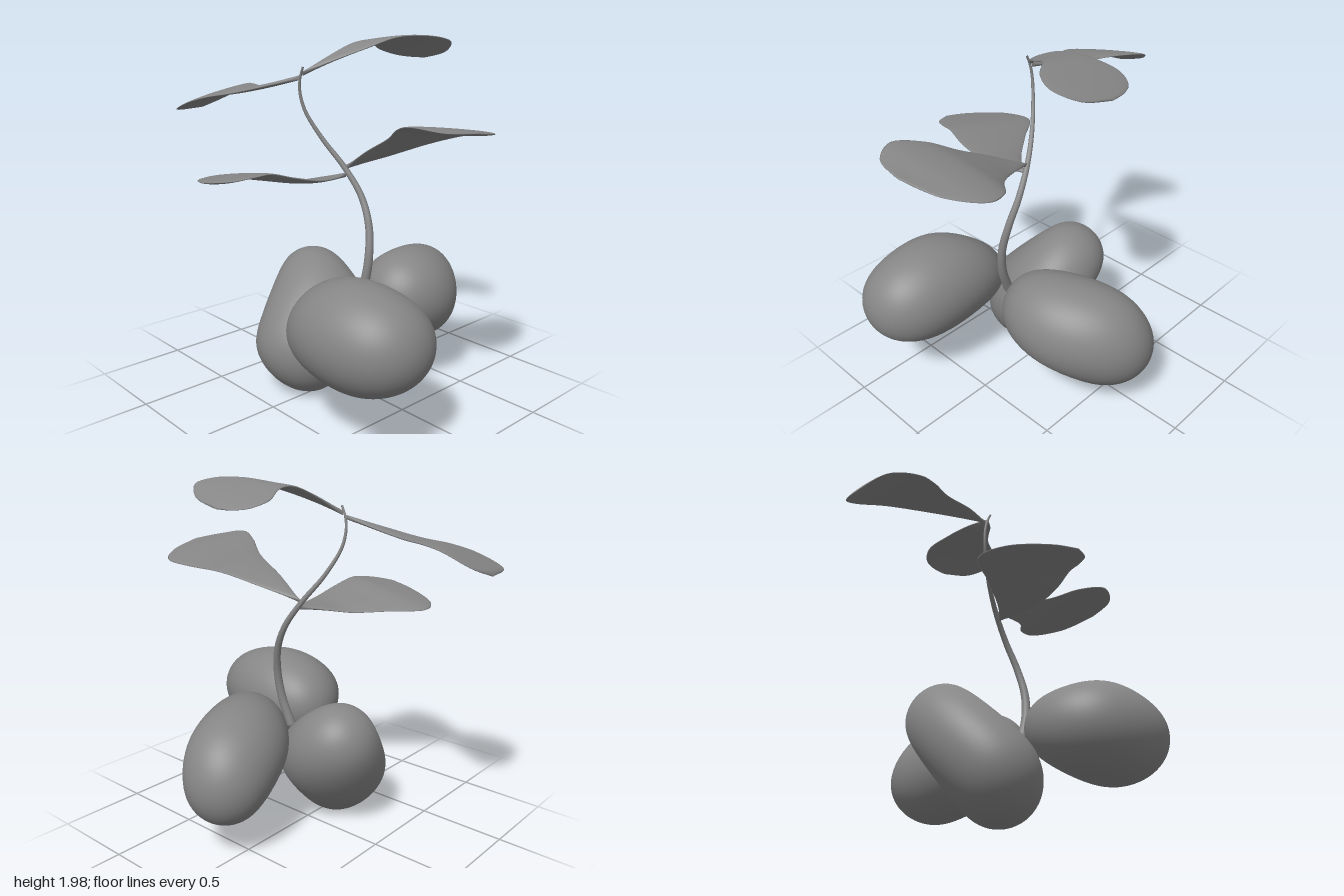
import * as THREE from 'three';

const material = new THREE.MeshStandardMaterial({ color: 0x868686 });
const toVec = (p) => new THREE.Vector3(p[0], p[1], p[2]);
const curveOf = (pts) => new THREE.CatmullRomCurve3(pts.map(toVec));

function named(name, geometry) {
  const mesh = new THREE.Mesh(geometry, material);
  mesh.name = name;
  return mesh;
}

// Smooth convex pebble wrapped around a few balls [x, y, z, radius]
function pebble(balls) {
  const geo = new THREE.SphereGeometry(1, 64, 48);
  const pos = geo.attributes.position;
  const d = new THREE.Vector3(), p = new THREE.Vector3(), sharpness = 24;
  for (let i = 0; i < pos.count; i++) {
    d.fromBufferAttribute(pos, i).normalize();
    p.set(0, 0, 0);
    let total = 0;
    for (const b of balls) {
      const c = toVec(b), r = b[3] + 0.01;
      const w = Math.exp(sharpness * (c.dot(d) + r));
      p.addScaledVector(c.addScaledVector(d, r), w);
      total += w;
    }
    p.divideScalar(total);
    pos.setXYZ(i, p.x, p.y, p.z);
  }
  // the sphere's own normals remain exact for this wrapping
  return geo;
}

// Leaf blade with a thin lens section, spanning two edge curves that meet at base and tip
function leaf(base, tip, edgeA, edgeB) {
  const a = curveOf([base, ...edgeA, tip]), b = curveOf([base, ...edgeB, tip]);
  const nu = 56, ring = 28, thickness = 0.012, positions = [], index = [];
  for (let i = 0; i <= nu; i++) {
    const u = i / nu, inner = THREE.MathUtils.clamp(u, 0.02, 0.98);
    const pa = a.getPoint(u), pb = b.getPoint(u);
    const across = b.getPoint(inner).sub(a.getPoint(inner));
    const normal = a.getTangent(inner).add(b.getTangent(inner)).cross(across).normalize();
    const t = thickness * Math.sqrt(1 - u ** 6);
    for (let j = 0; j < ring; j++) {
      const angle = (j / ring) * Math.PI * 2;
      const p = pa.clone().lerp(pb, (1 - Math.cos(angle)) / 2).addScaledVector(normal, t * Math.sin(angle));
      positions.push(p.x, p.y, p.z);
      if (i < nu) {
        const k = i * ring + j, k1 = i * ring + (j + 1) % ring;
        index.push(k, k + ring, k1, k1, k + ring, k1 + ring);
      }
    }
  }
  const geo = new THREE.BufferGeometry();
  geo.setAttribute('position', new THREE.Float32BufferAttribute(positions, 3));
  geo.setIndex(index);
  geo.computeVertexNormals();
  return geo;
}

// Tube narrowing from r0 to r1
function taperedTube(curve, r0, r1, segments = 80, sides = 14) {
  const geo = new THREE.TubeGeometry(curve, segments, 1, sides);
  const pos = geo.attributes.position, p = new THREE.Vector3();
  for (let i = 0; i < pos.count; i++) {
    const t = Math.floor(i / (sides + 1)) / segments;
    const c = curve.getPointAt(t);
    p.fromBufferAttribute(pos, i).sub(c).multiplyScalar(THREE.MathUtils.lerp(r0, r1, t)).add(c);
    pos.setXYZ(i, p.x, p.y, p.z);
  }
  return geo;
}

export function createModel() {
  const model = new THREE.Group();
  model.name = 'seedling';

  // Three pebble-like seeds
  model.add(named('rightSeed', pebble([
    [-0.22, 0.55, 0.01, 0.215], [-0.05, 0.42, 0.02, 0.22],
    [-0.05, 0.24, 0.2, 0.235], [-0.12, 0.3, 0.25, 0.22],
  ])));
  model.add(named('leftSeed', pebble([
    [0.32, 0.57, 0.31, 0.21], [0.4, 0.57, 0.46, 0.215], [0.52, 0.6, 0.385, 0.27],
    [0.57, 0.545, 0.385, 0.28], [0.72, 0.58, 0.36, 0.245], [0.71, 0.57, 0.42, 0.225],
  ])));
  model.add(named('backSeed', pebble([
    [0.25, 0.56, -0.25, 0.235], [0.07, 0.43, -0.59, 0.23], [0.12, 0.54, -0.53, 0.23],
    [0.12, 0.4, -0.52, 0.225], [0.26, 0.5, -0.39, 0.22], [0.1, 0.52, -0.35, 0.21],
  ])));

  // Winding stem with a rounded foot
  const stemCurve = curveOf([
    [0.21, 0.52, 0.085], [0.265, 0.68, 0.07], [0.28, 0.84, 0.05], [0.25, 1.0, 0.022],
    [0.18, 1.15, 0.012], [0.08, 1.3, 0.045], [-0.025, 1.45, 0.11], [-0.095, 1.6, 0.17],
    [-0.11, 1.7, 0.19], [-0.1, 1.77, 0.195], [-0.075, 1.83, 0.195],
  ]);
  model.add(named('stem', taperedTube(stemCurve, 0.028, 0.006)));
  const foot = named('stemFoot', new THREE.SphereGeometry(0.028, 16, 12));
  foot.position.copy(stemCurve.getPoint(0));
  model.add(foot);

  // Four leaves spiralling up the stem: base, tip, then the two edges
  const leaves = {
    frontLeaf: [[0.1, 1.26, 0.05], [0, 1.31, 0.81],
      [[0, 1.24, 0.17], [-0.1, 1.222, 0.27], [-0.25, 1.23, 0.39], [-0.42, 1.24, 0.53], [-0.37, 1.25, 0.67], [-0.17, 1.28, 0.785]],
      [[0.15, 1.265, 0.15], [0.18, 1.275, 0.3], [0.18, 1.31, 0.46], [0.155, 1.345, 0.59], [0.14, 1.34, 0.67], [0.095, 1.325, 0.76]]],
    leftLeaf: [[0.09, 1.3, 0.04], [0.93, 1.57, 0.02],
      [[0.3, 1.375, -0.07], [0.48, 1.45, -0.2], [0.6, 1.49, -0.33], [0.72, 1.51, -0.36], [0.86, 1.535, -0.22]],
      [[0.3, 1.415, 0.1], [0.48, 1.505, 0.13], [0.62, 1.575, 0.21], [0.77, 1.605, 0.275], [0.89, 1.585, 0.2]]],
    rightLeaf: [[-0.11, 1.77, 0.19], [-0.97, 1.55, 0.25],
      [[-0.3, 1.73, 0.175], [-0.5, 1.7, 0.14], [-0.7, 1.695, 0.06], [-0.84, 1.68, 0], [-0.94, 1.61, 0.08]],
      [[-0.3, 1.715, 0.3], [-0.5, 1.67, 0.37], [-0.63, 1.645, 0.44], [-0.75, 1.61, 0.485], [-0.91, 1.555, 0.465]]],
    backLeaf: [[-0.09, 1.79, 0.19], [0.12, 1.86, -0.545],
      [[-0.04, 1.885, 0.03], [-0.02, 1.945, -0.12], [-0.05, 1.945, -0.27], [-0.1, 1.9, -0.4], [-0.06, 1.87, -0.49], [0.02, 1.86, -0.53]],
      [[0.04, 1.868, 0.05], [0.13, 1.925, -0.08], [0.23, 1.98, -0.21], [0.36, 1.985, -0.32], [0.4, 1.96, -0.42], [0.3, 1.9, -0.51]]],
  };
  for (const [name, spec] of Object.entries(leaves)) model.add(named(name, leaf(...spec)));
  return model;
}
